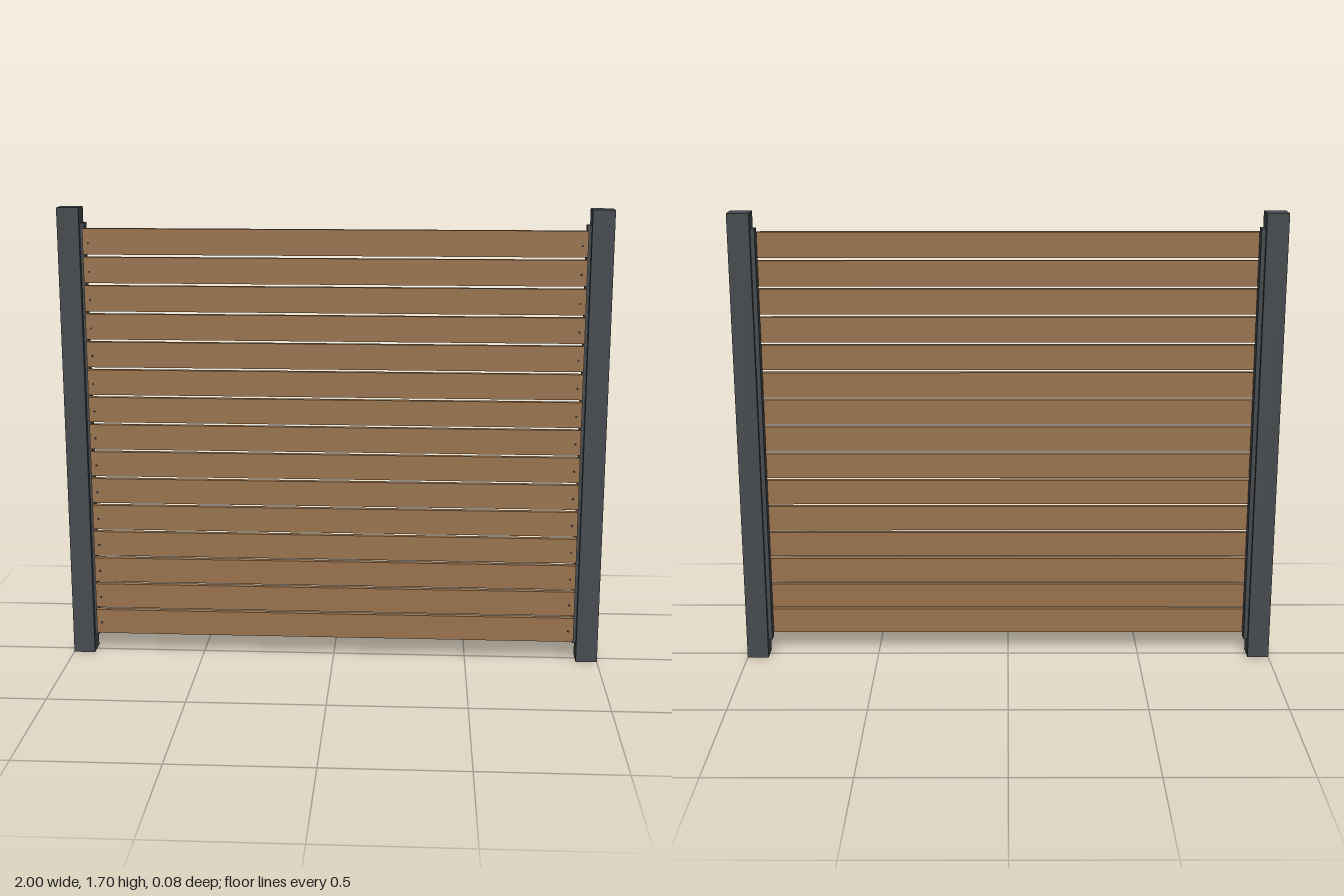
import * as THREE from 'three';

export function createModel() {
  const fence = new THREE.Group();
  fence.name = 'slattedFencePanel';

  const make = (name, color) => {
    const m = new THREE.MeshStandardMaterial({ color });
    m.name = name;
    return m;
  };
  const metal = make('anthracite metal', 0x464a4e);
  const wood = make('brown wood', 0x98734e);
  const steel = make('dark screw steel', 0x303235);

  const add = (name, geometry, material, x, y, z) => {
    const mesh = new THREE.Mesh(geometry, material);
    mesh.name = name;
    mesh.position.set(x, y, z);
    fence.add(mesh);
  };

  // Square posts with a narrow mounting rail on their inner faces
  const post = new THREE.BoxGeometry(0.08, 1.7, 0.08);
  const rail = new THREE.BoxGeometry(0.015, 1.576, 0.042);
  for (const side of [-1, 1]) {
    const label = side > 0 ? 'left' : 'right';
    add(label + 'Post', post, metal, side * 0.96, 0.85, 0);
    add(label + 'Rail', rail, metal, side * 0.9125, 0.855, -0.001);
  }

  // Horizontal slats, one screw at each end
  const count = 15, height = 0.094, bottom = 0.08, top = 1.626;
  const pitch = (top - bottom - height) / (count - 1);
  const slat = new THREE.BoxGeometry(1.816, height, 0.021);
  const screw = new THREE.CylinderGeometry(0.004, 0.004, 0.003, 12).rotateX(Math.PI / 2);
  for (let i = 0; i < count; i++) {
    const y = bottom + height / 2 + i * pitch;
    add('slat' + (i + 1), slat, wood, 0, y, 0.0305);
    for (const side of [-1, 1]) add('screw', screw, steel, side * 0.888, y - 0.006, 0.041);
  }

  return fence;
}
